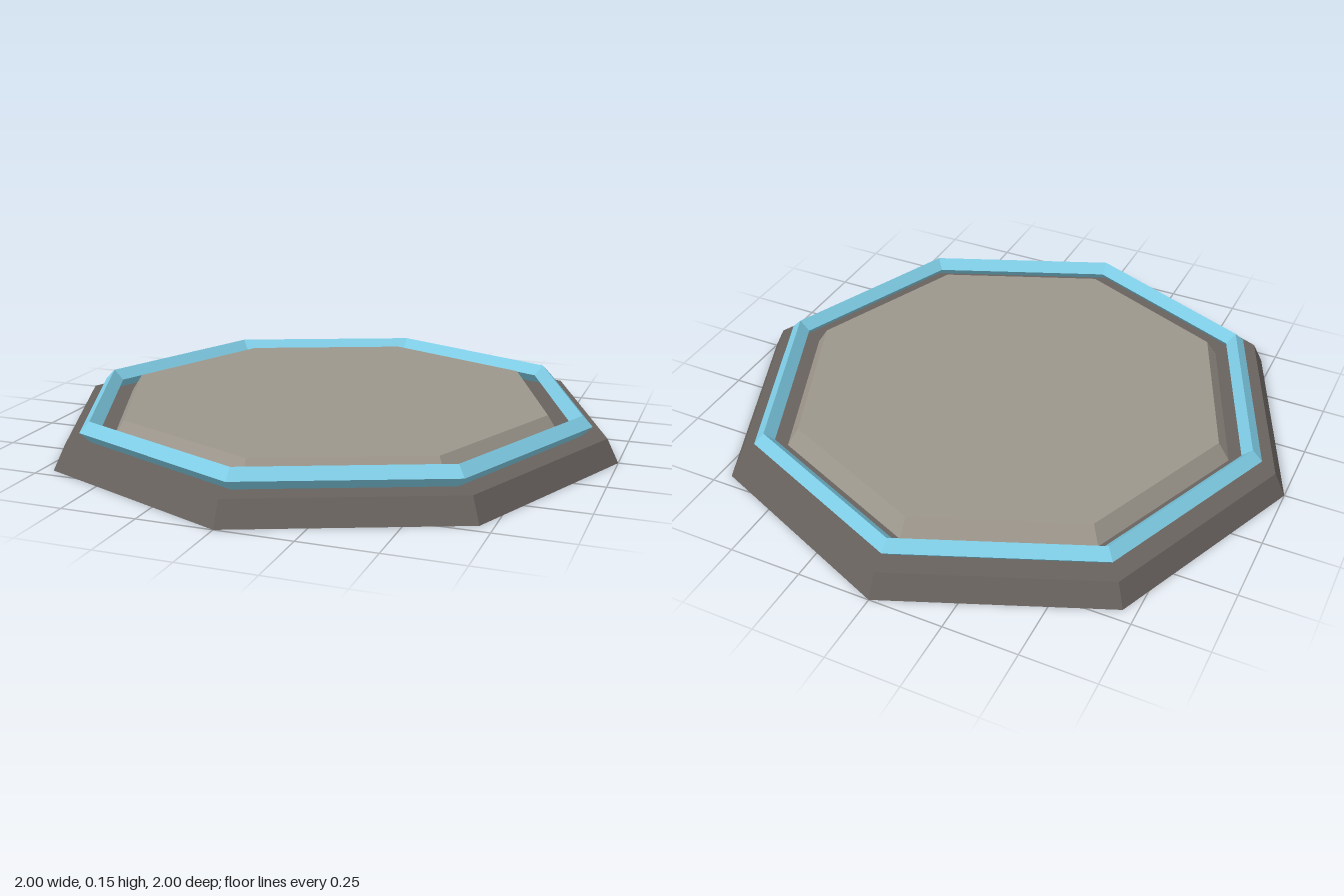
import * as THREE from 'three';

const SIDES = 8;

const stone = (name, color) => {
  const m = new THREE.MeshStandardMaterial({ color, flatShading: true });
  m.name = name;
  return m;
};

export function createModel() {
  const group = new THREE.Group();
  group.name = 'octagonalPlatform';

  const darkStone = stone('dark stone', 0x68625e);
  const paleStone = stone('pale stone', 0x9c968c);
  const blueGlow = stone('light blue', 0x7ecbe4);

  const add = (name, geometry, material, y) => {
    const mesh = new THREE.Mesh(geometry, material);
    mesh.name = name;
    mesh.position.y = y;
    group.add(mesh);
  };

  // eight-sided tapered slab standing on y = bottom
  const slab = (name, topRadius, bottomRadius, bottom, height, material) =>
    add(name, new THREE.CylinderGeometry(topRadius, bottomRadius, height, SIDES), material, bottom + height / 2);

  // wide base and raised centre panel
  slab('base', 0.96, 1, 0, 0.08, darkStone);
  slab('centrePanel', 0.76, 0.8, 0.08, 0.06, paleStone);

  // diamond-section ring resting on the base
  const ring = new THREE.TorusGeometry(0.875, 0.035, 4, SIDES);
  ring.rotateX(-Math.PI / 2);
  add('edgeRing', ring, blueGlow, 0.115);

  return group;
}
